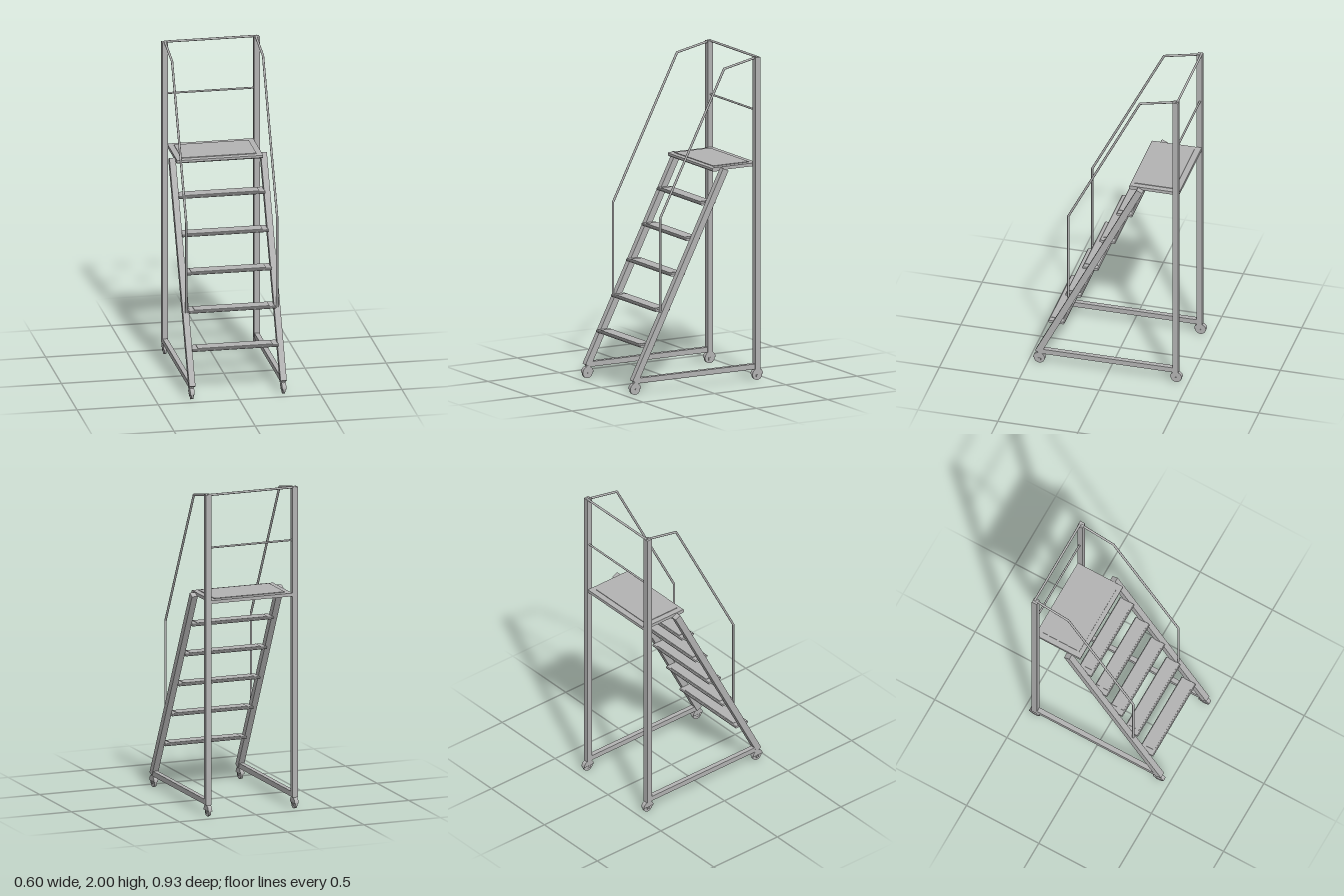
import * as THREE from 'three';

export function createModel() {
  const group = new THREE.Group();
  const steel = new THREE.MeshStandardMaterial({ color: 0xb4b4b4 });
  steel.name = 'grey steel';

  function add(geometry, name, x = 0, y = 0, z = 0, parent = group) {
    const mesh = new THREE.Mesh(geometry, steel);
    mesh.name = name;
    mesh.position.set(x, y, z);
    parent.add(mesh);
    return mesh;
  }
  const box = (w, h, d) => new THREE.BoxGeometry(w, h, d);

  // Extrudes a side outline of [z, y] points across x, centred on x = 0
  function sideExtrude(points, width) {
    const shape = new THREE.Shape(points.map(([z, y]) => new THREE.Vector2(-z, y)));
    const g = new THREE.ExtrudeGeometry(shape, { depth: width, bevelEnabled: false });
    g.translate(0, 0, -width / 2);
    g.rotateY(Math.PI / 2);
    return g;
  }

  // Round tube between two points
  function rod(a, b, radius, name) {
    const from = new THREE.Vector3(...a), to = new THREE.Vector3(...b);
    const dir = to.clone().sub(from);
    const mesh = add(new THREE.CylinderGeometry(radius, radius, dir.length(), 12), name);
    mesh.position.copy(from).add(to).multiplyScalar(0.5);
    mesh.quaternion.setFromUnitVectors(new THREE.Vector3(0, 1, 0), dir.normalize());
  }

  // Swivel caster: stem, domed hood, fork cheeks, wheel and axle
  function caster(x, z) {
    const c = new THREE.Group();
    c.name = 'caster';
    c.position.set(x, 0, z);
    group.add(c);
    add(new THREE.CylinderGeometry(0.013, 0.013, 0.02, 16), 'casterStem', 0, 0.069, 0, c);
    const hood = add(new THREE.CylinderGeometry(0.037, 0.037, 0.026, 20, 1, false, 0, Math.PI), 'casterHood', 0, 0.036, 0, c);
    hood.rotation.z = Math.PI / 2;
    const wheel = add(new THREE.CylinderGeometry(0.034, 0.034, 0.014, 28), 'wheel', 0, 0.034, 0, c);
    wheel.rotation.z = Math.PI / 2;
    const axle = add(new THREE.CylinderGeometry(0.005, 0.005, 0.032, 10), 'axle', 0, 0.034, 0, c);
    axle.rotation.z = Math.PI / 2;
    for (const s of [-1, 1]) add(box(0.003, 0.03, 0.022), 'forkCheek', s * 0.0115, 0.034, 0, c);
  }

  // Side frames, mirrored left and right
  for (const s of [-1, 1]) {
    const x = s * 0.2825;
    add(box(0.035, 1.925, 0.035), 'rearPost', x, 1.0325, -0.4225);
    add(box(0.03, 0.032, 0.83), 'baseRail', x, 0.086, 0.005);
    add(sideExtrude([[0.455, 0.088], [0.42, 0.07], [-0.216, 1.317], [-0.18, 1.335]], 0.038),
      'stringer', s * 0.281);
    caster(x, -0.425);
    caster(x, 0.432);

    // Handrail with short bends at its corners
    const path = [[0.252, 0.49], [0.252, 1.068], [-0.197, 1.945], [-0.425, 1.993]];
    for (let i = 0; i < 3; i++) {
      rod([s * 0.28, path[i][1], path[i][0]], [s * 0.28, path[i + 1][1], path[i + 1][0]], 0.007, 'handrail');
      if (i) add(new THREE.SphereGeometry(0.007, 12, 8), 'handrailBend', s * 0.28, path[i][1], path[i][0]);
    }
  }

  // Rear guard rails
  rod([-0.285, 1.993, -0.43], [0.285, 1.993, -0.43], 0.007, 'topGuardRail');
  rod([-0.27, 1.665, -0.425], [0.27, 1.665, -0.425], 0.006, 'middleGuardRail');

  // Treads with rounded noses and a raised tread panel
  for (let i = 0; i < 5; i++) {
    const y = 0.288 + i * 0.2085, z = 0.332 - i * 0.1065;
    add(sideExtrude([[0.05, -0.004], [0.05, 0.003], [0.045, 0.007], [-0.045, 0.007],
      [-0.05, 0.003], [-0.05, -0.004], [-0.045, -0.008], [0.045, -0.008]].reverse(), 0.53), 'tread', 0, y, z);
    add(box(0.46, 0.004, 0.076), 'treadPanel', 0, y + 0.008, z);
  }

  // Top platform with a deeper front nose and a raised panel
  add(sideExtrude([[-0.41, 1.318], [-0.41, 1.338], [-0.13, 1.338], [-0.124, 1.334],
    [-0.124, 1.32], [-0.13, 1.314], [-0.2, 1.314], [-0.21, 1.318]].reverse(), 0.53), 'platform');
  add(box(0.46, 0.006, 0.25), 'platformPanel', 0, 1.339, -0.275);
  add(box(0.53, 0.02, 0.03), 'platformRearEdge', 0, 1.328, -0.422);

  return group;
}
